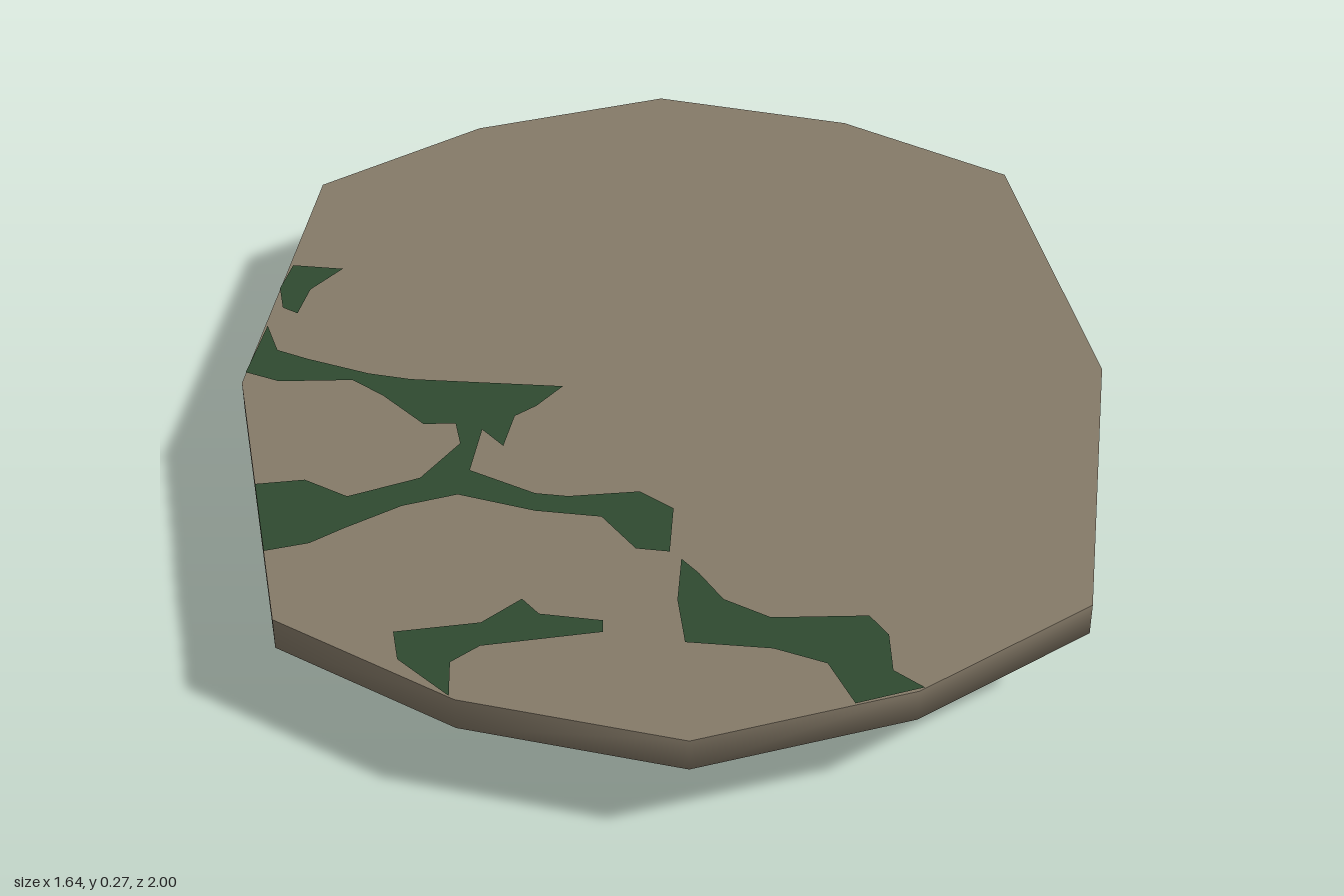
import * as THREE from 'three';

const TOP = 0.265, WAIST = 0.2, BASE = 0.13;
const BASE_X = 0.92, BASE_Z = 0.87;

// Outline of the slab as [x, z], from the front left corner round to the front
const OUTLINE = [
  [-0.71, 0.68], [-0.39, 0.89], [0, 1], [0.39, 0.89], [0.71, 0.68], [0.82, 0],
  [0.71, -0.68], [0.39, -0.89], [0, -1], [-0.39, -0.89], [-0.71, -0.68], [-0.82, 0],
];

// Moss patches as [x, z] outlines
const MOSS = [
  [ // branching vein
    [-0.815, -0.03], [-0.785, -0.18], [-0.76, -0.1], [-0.7, -0.07], [-0.58, -0.02], [-0.5, 0],
    [-0.21, 0.03], [-0.26, 0.09], [-0.3, 0.12], [-0.32, 0.21], [-0.36, 0.16], [-0.38, 0.28],
    [-0.26, 0.35], [-0.2, 0.36], [-0.07, 0.35], [-0.01, 0.4], [-0.02, 0.52], [-0.08, 0.51],
    [-0.14, 0.42], [-0.26, 0.4], [-0.4, 0.35], [-0.5, 0.38], [-0.6, 0.44], [-0.66, 0.48],
    [-0.74, 0.5], [-0.77, 0.31], [-0.68, 0.3], [-0.6, 0.35], [-0.47, 0.3], [-0.4, 0.2],
    [-0.41, 0.14], [-0.47, 0.14], [-0.55, 0.05], [-0.61, 0], [-0.75, 0],
  ],
  [ // front patch
    [0, 0.54], [0.03, 0.58], [0.07, 0.65], [0.15, 0.7], [0.32, 0.7], [0.35, 0.75], [0.35, 0.84],
    [0.4, 0.885], [0.28, 0.92], [0.24, 0.82], [0.15, 0.78], [0, 0.76], [-0.01, 0.65],
  ],
  [ // front right tuft
    [-0.4, 0.885], [-0.49, 0.79], [-0.5, 0.72], [-0.35, 0.7], [-0.28, 0.64], [-0.25, 0.68],
    [-0.14, 0.7], [-0.14, 0.73], [-0.35, 0.76], [-0.4, 0.8],
  ],
  [ // small side tuft
    [-0.78, -0.31], [-0.75, -0.385], [-0.65, -0.37], [-0.71, -0.3], [-0.73, -0.22], [-0.76, -0.24],
  ],
];

function indexed(positions, index) {
  const g = new THREE.BufferGeometry();
  g.setAttribute('position', new THREE.Float32BufferAttribute(positions, 3));
  if (index) g.setIndex(index);
  g.computeVertexNormals();
  return g;
}

// Fan from a centre point to the outline, facing up or down
function fan(centreY, rimY, sx, sz, up) {
  const pos = [0, centreY, 0], index = [], n = OUTLINE.length;
  OUTLINE.forEach(([x, z], i) => {
    pos.push(x * sx, rimY, z * sz);
    const a = 1 + i, b = 1 + (i + 1) % n;
    index.push(0, ...(up ? [a, b] : [b, a]));
  });
  return indexed(pos, index);
}

// Smooth wall with a rounded-under lower edge, between two outline corners
function wall(start, count) {
  const pos = [], index = [];
  const rings = [[TOP, 1, 1], [WAIST, 1, 1], [BASE, BASE_X, BASE_Z]];
  for (const [y, sx, sz] of rings) {
    for (let i = 0; i <= count; i++) {
      const [x, z] = OUTLINE[(start + i) % OUTLINE.length];
      pos.push(x * sx, y, z * sz);
    }
  }
  const w = count + 1;
  for (let r = 0; r < 2; r++) {
    for (let i = 0; i < count; i++) {
      const a = r * w + i, c = a + w;
      index.push(a, c, a + 1, a + 1, c, c + 1);
    }
  }
  return indexed(pos, index);
}

// How far a point lies from the centre (0) towards the outline (1)
function reach(x, z) {
  let t = 0;
  OUTLINE.forEach(([ax, az], i) => {
    const [bx, bz] = OUTLINE[(i + 1) % OUTLINE.length];
    const nx = az - bz, nz = bx - ax;
    t = Math.max(t, (nx * x + nz * z) / (nx * ax + nz * az));
  });
  return t;
}

function topPoint([x, z]) {
  const t = Math.max(1, reach(x, z));
  return [x / t, TOP + 0.003, z / t];
}

function bottomPoint([x, z]) {
  const t = reach(x / BASE_X, z / BASE_Z), k = Math.max(1, t);
  return [x / k, BASE * Math.min(1, t) - 0.003, z / k];
}

// Moss patch split finely enough to follow the surface given by place()
function mossGeometry(outline, place, up, levels) {
  const pos = [];
  const mid = (a, b) => [(a[0] + b[0]) / 2, (a[1] + b[1]) / 2];
  const split = (a, b, c, level) => {
    if (level === 0) {
      pos.push(...place(a), ...place(b), ...place(c));
      return;
    }
    const ab = mid(a, b), bc = mid(b, c), ca = mid(c, a);
    for (const tri of [[a, ab, ca], [ab, b, bc], [ca, bc, c], [ab, bc, ca]]) split(...tri, level - 1);
  };
  const contour = outline.map(([x, z]) => new THREE.Vector2(x, z));
  for (const face of THREE.ShapeUtils.triangulateShape(contour, [])) {
    const [a, b, c] = face.map((i) => outline[i]);
    const ny = (b[1] - a[1]) * (c[0] - a[0]) - (b[0] - a[0]) * (c[1] - a[1]);
    if ((ny > 0) === up) split(a, b, c, levels);
    else split(a, c, b, levels);
  }
  return indexed(pos);
}

export function createModel() {
  const stone = new THREE.MeshStandardMaterial({ color: 0x857a68 });
  stone.name = 'stone';
  const moss = new THREE.MeshStandardMaterial({ color: 0x2f4a30 });
  moss.name = 'moss';

  const model = new THREE.Group();
  model.name = 'steppingStone';
  const add = (name, geometry, material) => {
    const mesh = new THREE.Mesh(geometry, material);
    mesh.name = name;
    model.add(mesh);
  };

  // Slab
  add('topFace', fan(TOP, TOP, 1, 1, true), stone);
  add('underside', fan(0.003, BASE, BASE_X, BASE_Z, false), stone);
  add('frontWall', wall(0, 4), stone);
  add('leftWall', wall(4, 2), stone);
  add('backWall', wall(6, 4), stone);
  add('rightWall', wall(10, 2), stone);

  // Moss on both faces
  MOSS.forEach((outline, i) => {
    add(`topMoss${i + 1}`, mossGeometry(outline, topPoint, true, 0), moss);
    add(`undersideMoss${i + 1}`, mossGeometry(outline, bottomPoint, false, 3), moss);
  });
  return model;
}
